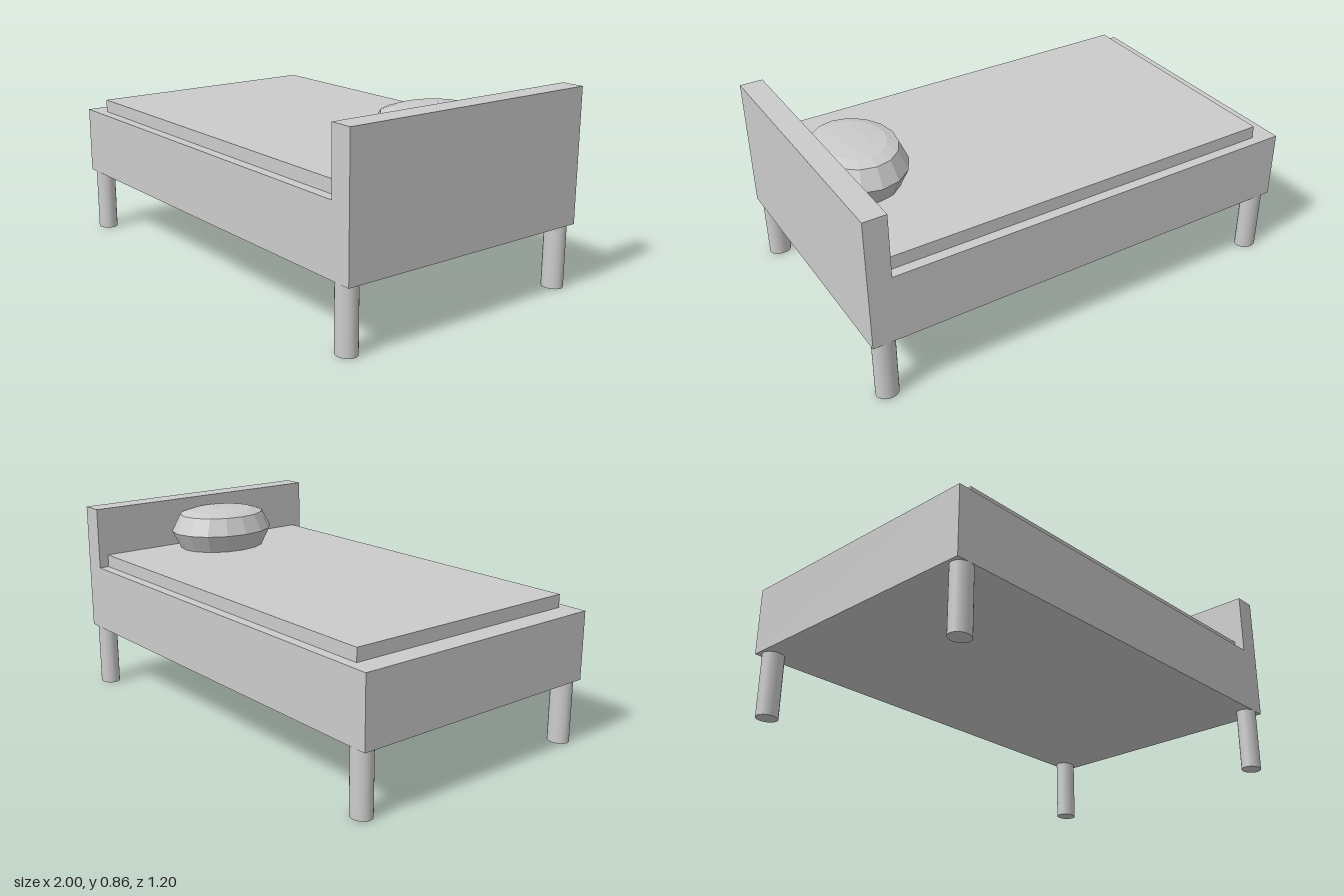
import * as THREE from 'three';

export function createModel() {
  const group = new THREE.Group();
  const smooth = new THREE.MeshStandardMaterial({ color: 0xcccccc });
  const faceted = new THREE.MeshStandardMaterial({ color: 0xcccccc, flatShading: true });

  const add = (name, geometry, material, x, y, z) => {
    const mesh = new THREE.Mesh(geometry, material);
    mesh.name = name;
    mesh.position.set(x, y, z);
    group.add(mesh);
    return mesh;
  };
  // Box given by its lower and upper limits
  const box = (name, [x0, x1], [y0, y1], [z0, z1]) =>
    add(name, new THREE.BoxGeometry(x1 - x0, y1 - y0, z1 - z0), smooth,
      (x0 + x1) / 2, (y0 + y1) / 2, (z0 + z1) / 2);

  box('bedFrame', [-1, 1], [0.28, 0.58], [-0.6, 0.6]);
  box('headboard', [0.9, 1], [0.58, 0.86], [-0.6, 0.6]);
  box('mattress', [-0.9, 0.9], [0.58, 0.637], [-0.555, 0.555]);

  // Four slightly oval legs
  const legGeometry = new THREE.CylinderGeometry(1, 1, 0.28, 32).scale(0.049, 1, 0.042);
  for (const x of [-0.938, 0.938])
    for (const z of [-0.558, 0.558]) add('leg', legGeometry, smooth, x, 0.14, z);

  // Faceted oval pillow, sunk a little into the mattress and the headboard
  const profile = [
    [0, 0.605], [0.6, 0.61], [0.83, 0.637], [1, 0.72],
    [0.83, 0.8], [0.62, 0.815], [0.25, 0.822], [0, 0.822],
  ].map(([r, y]) => new THREE.Vector2(r, y));
  const pillowGeometry = new THREE.LatheGeometry(profile, 16).scale(0.21, 1, 0.255);
  add('pillow', pillowGeometry, faceted, 0.755, 0, 0);

  return group;
}
